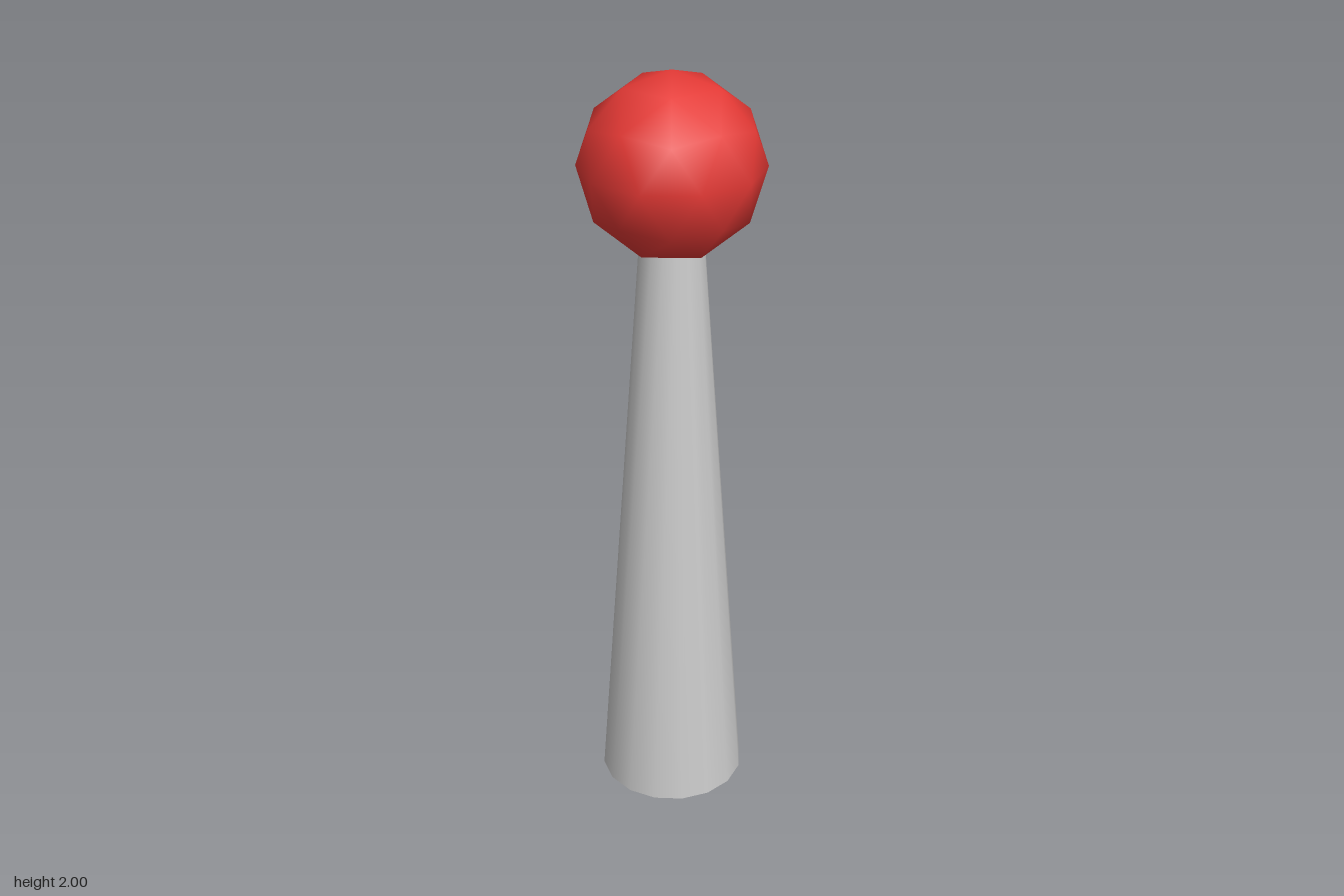
import * as THREE from 'three';

export function createModel() {
  const group = new THREE.Group();
  const grey = new THREE.MeshStandardMaterial({ color: 0xcccccc });
  const red = new THREE.MeshStandardMaterial({ color: 0xe53935 });

  // tapered round post, its top tucked into the ball
  const topY = 1.6;
  const post = new THREE.Mesh(new THREE.CylinderGeometry(0.08, 0.196, topY, 16), grey);
  post.name = 'post';
  post.position.y = topY / 2;
  group.add(post);

  // low-poly smooth ball, turned so that a vertex points straight up
  const radius = 0.232;
  const golden = (1 + Math.sqrt(5)) / 2;
  const ballGeometry = new THREE.IcosahedronGeometry(radius, 1);
  ballGeometry.rotateZ(-Math.atan(1 / golden));
  const ball = new THREE.Mesh(ballGeometry, red);
  ball.name = 'ball';
  ball.position.y = 2 - radius;
  group.add(ball);

  return group;
}
